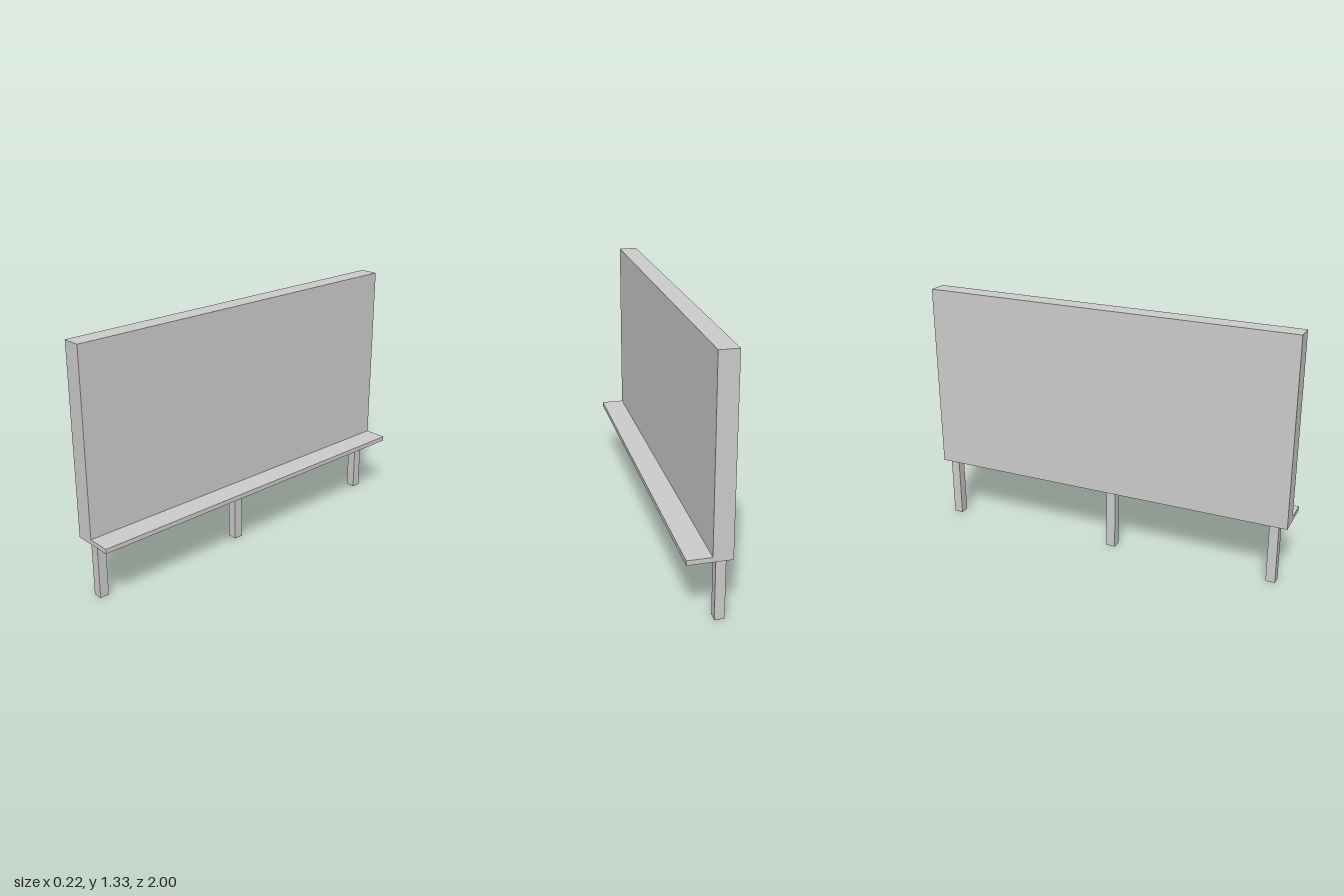
import * as THREE from 'three';

export function createModel() {
  const group = new THREE.Group();
  const material = new THREE.MeshStandardMaterial({ color: 0xcccccc, flatShading: true });

  // Box given by its extents along each axis
  function addBox(name, [x0, x1], [y0, y1], [z0, z1]) {
    const mesh = new THREE.Mesh(new THREE.BoxGeometry(x1 - x0, y1 - y0, z1 - z0), material);
    mesh.position.set((x0 + x1) / 2, (y0 + y1) / 2, (z0 + z1) / 2);
    mesh.name = name;
    group.add(mesh);
  }

  const base = 0.33;

  // Upright board and the narrow ledge along its foot
  addBox('board', [-0.111, -0.013], [base, 1.327], [-1, 1]);
  addBox('ledge', [-0.013, 0.111], [base, 0.355], [-1, 1]);

  // Three square legs under the board
  const legs = { frontLeg: 0.928, middleLeg: 0.034, backLeg: -0.942 };
  for (const [name, z] of Object.entries(legs)) {
    addBox(name, [-0.087, -0.037], [0, base], [z - 0.0245, z + 0.0245]);
  }

  return group;
}
